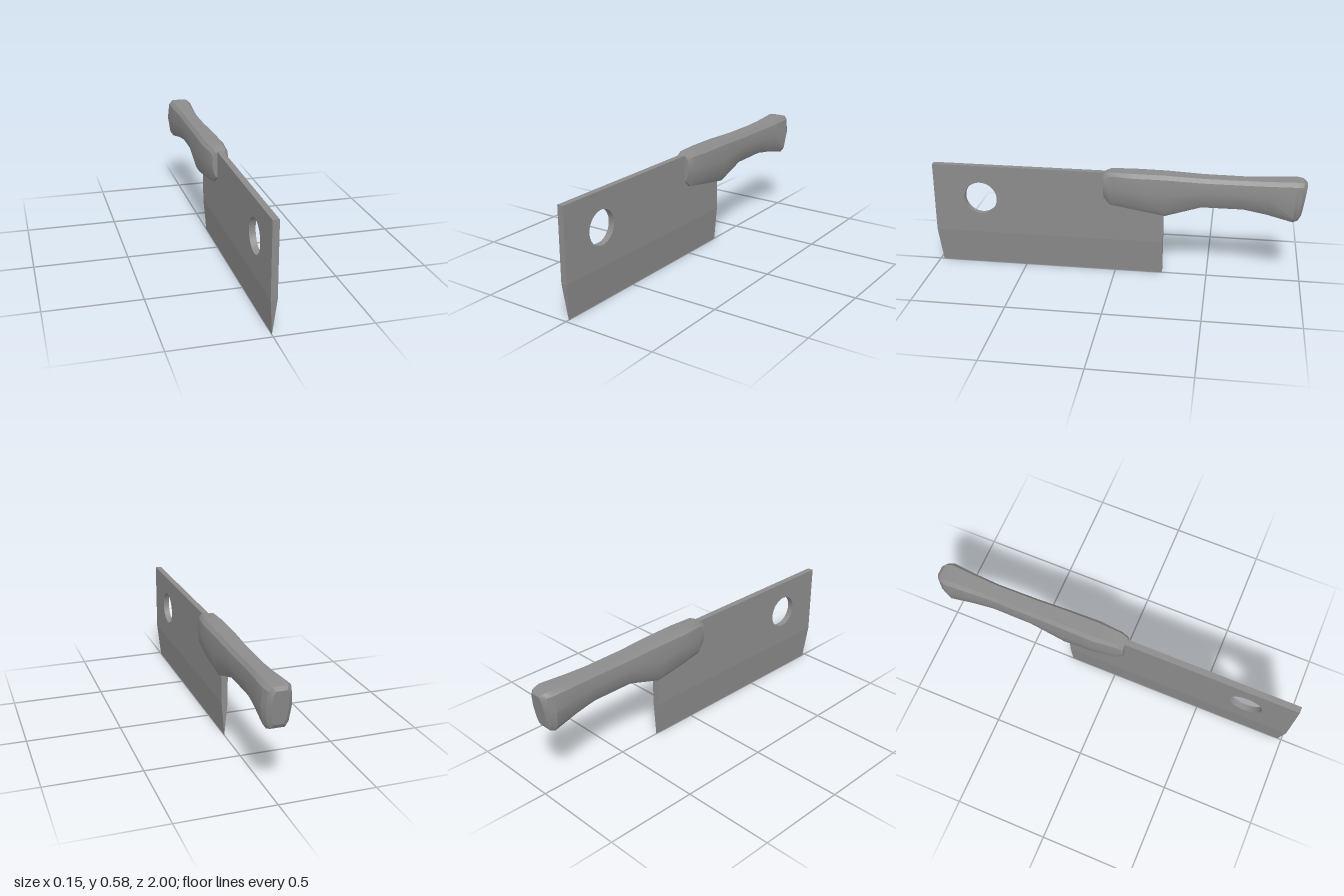
import * as THREE from 'three';
import { toCreasedNormals } from 'three/addons/utils/BufferGeometryUtils.js';

const HALF = 0.0165; // half thickness of the blade

// Handle cross-section, as fractions of half width and chamfer depth, counter-clockwise from +z
function handleRing([z, top, bottom, w, tilt = 0, cut = 0.02]) {
  const mid = top - (top - bottom) * 0.46;
  const right = [
    [0.58 * w, bottom], [0.83 * w, bottom + cut * 1.4], [w, mid],
    [0.87 * w, top - cut], [0.6 * w, top],
  ];
  const left = right.map(([x, y]) => [-x, y]).reverse();
  return [...right, ...left].map(([x, y]) => [x, y, z - tilt * (y - mid)]);
}

// Skin a row of rings running from front to back, with both ends capped
function loft(rings) {
  const n = rings[0].length, last = (rings.length - 1) * n, index = [];
  for (let i = 0; i < rings.length - 1; i++) {
    for (let j = 0; j < n; j++) {
      const a = i * n + j, b = i * n + (j + 1) % n;
      index.push(a, a + n, b, b, a + n, b + n);
    }
  }
  for (let j = 1; j < n - 1; j++) {
    index.push(0, j, j + 1, last, last + j + 1, last + j);
  }
  const g = new THREE.BufferGeometry();
  g.setAttribute('position', new THREE.Float32BufferAttribute(rings.flat(2), 3));
  g.setIndex(index);
  return g;
}

export function createModel() {
  const steel = new THREE.MeshStandardMaterial({ color: 0x8c8c8c });
  steel.name = 'grey steel';
  const group = new THREE.Group();
  group.name = 'cleaver';
  const add = (name, geometry, crease) => {
    const mesh = new THREE.Mesh(toCreasedNormals(geometry, crease), steel);
    mesh.name = name;
    group.add(mesh);
  };

  // Flat upper blade with the hanging hole
  const shape = new THREE.Shape([
    [-0.26, 0.19], [1, 0.19], [1, 0.575], [-0.26, 0.575],
  ].map(p => new THREE.Vector2(...p)));
  const hole = new THREE.Path();
  hole.absarc(0.74, 0.39, 0.09, 0, Math.PI * 2, true);
  shape.holes.push(hole);
  const plate = new THREE.ExtrudeGeometry(shape, { depth: HALF * 2, bevelEnabled: false, curveSegments: 20 });
  plate.translate(0, 0, -HALF).rotateY(-Math.PI / 2);
  add('bladePlate', plate, 0.5);

  // Wedge tapering to the cutting edge, its front corner drawn back a little
  add('cuttingEdge', loft([1, -0.26].map(z => [
    [0, 0, z > 0 ? 0.98 : z], [HALF, 0.19, z], [-HALF, 0.19, z],
  ])), 0.5);

  // Handle sections: z, top, bottom, half width, backward lean, chamfer
  const sections = [
    [0.06, 0.57, 0.435, 0.044],
    [0.025, 0.585, 0.4, 0.054],
    [-0.1, 0.585, 0.383, 0.068],
    [-0.27, 0.584, 0.355, 0.065],
    [-0.46, 0.576, 0.415, 0.06],
    [-0.68, 0.575, 0.415, 0.057],
    [-0.8, 0.578, 0.395, 0.064],
    [-0.94, 0.585, 0.363, 0.076, 0.04],
    [-0.972, 0.58, 0.372, 0.062, 0.09],
    [-0.989, 0.565, 0.395, 0.042, 0.13],
  ];
  add('handle', loft(sections.map(handleRing)), 0.45);

  return group;
}
